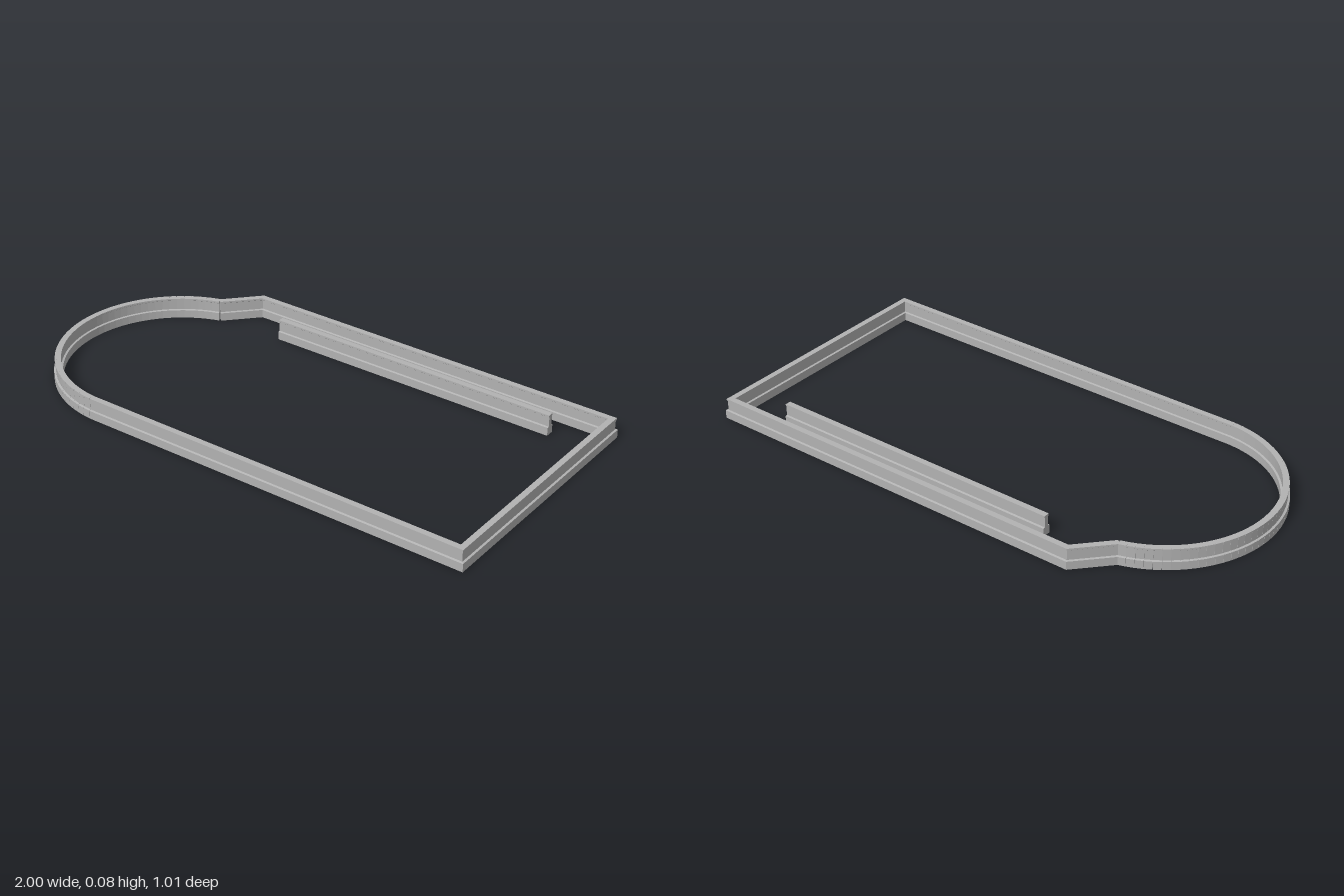
import * as THREE from 'three';

// Barrier cross-section: wide foot, slim web, slightly overhanging cap
const half = [[0.0165, 0], [0.0165, 0.032], [0.009, 0.034], [0.009, 0.071], [0.0115, 0.073], [0.0115, 0.08]];
const profile = new THREE.Shape([
  ...half.map(([x, y]) => new THREE.Vector2(x, y)),
  ...half.slice().reverse().map(([x, y]) => new THREE.Vector2(-x, y)),
]);

// Direction of a run in plan, where a Vector2 holds (x, z)
const heading = (a, b) => b.clone().sub(a).normalize();
const sideOf = (d) => new THREE.Vector2(d.y, -d.x);

// Shear of an end face that mitres direction d to its neighbour
function mitre(d, other) {
  if (!other) return 0;
  const m = sideOf(d).add(sideOf(other));
  return m.dot(d) / m.dot(sideOf(d));
}

// One straight barrier from a to b, mitred to the runs before and after
function barrier(name, a, b, material, before, after) {
  const d = heading(a, b);
  const length = a.distanceTo(b);
  const geometry = new THREE.ExtrudeGeometry(profile, { depth: length, bevelEnabled: false });
  const k0 = mitre(d, before), k1 = mitre(d, after);
  const p = geometry.attributes.position;
  for (let i = 0; i < p.count; i++) {
    const k = p.getZ(i) > length / 2 ? k1 : k0;
    p.setZ(i, p.getZ(i) + p.getX(i) * k);
  }
  geometry.rotateY(Math.atan2(d.x, d.y));
  geometry.translate(a.x, 0, a.y);
  geometry.computeVertexNormals();
  const mesh = new THREE.Mesh(geometry, material);
  mesh.name = name;
  return mesh;
}

export function createModel() {
  const model = new THREE.Group();
  model.name = 'barrierCircuit';
  const concrete = new THREE.MeshStandardMaterial({ color: 0xb2b2b2 });
  concrete.name = 'concrete grey';

  // Straight walls around the square end
  const corners = [[-0.672, -0.363], [-0.555, -0.488], [0.9835, -0.488], [0.9835, 0.488], [-0.575, 0.488]]
    .map(([x, z]) => new THREE.Vector2(x, z));
  const names = ['angledWall', 'backWall', 'endWall', 'frontWall'];
  const dirs = names.map((_, i) => heading(corners[i], corners[i + 1]));
  names.forEach((name, i) => {
    model.add(barrier(name, corners[i], corners[i + 1], concrete, dirs[i - 1], dirs[i + 1]));
  });

  // Curved end made of many short barriers
  const curve = new THREE.Group();
  curve.name = 'curvedWall';
  const count = 42, radius = 0.4355;
  const start = THREE.MathUtils.degToRad(93.6), end = THREE.MathUtils.degToRad(253.4);
  const onArc = (i) => {
    const t = start + (end - start) * i / count;
    return new THREE.Vector2(-0.548 + radius * Math.cos(t), 0.053 + radius * Math.sin(t));
  };
  for (let i = 0; i < count; i++) {
    curve.add(barrier('curveSegment', onArc(i), onArc(i + 1), concrete));
  }
  model.add(curve);

  // Free-standing divider inside the back wall
  model.add(barrier('innerDivider', new THREE.Vector2(-0.39, -0.383), new THREE.Vector2(0.797, -0.383), concrete));

  return model;
}
